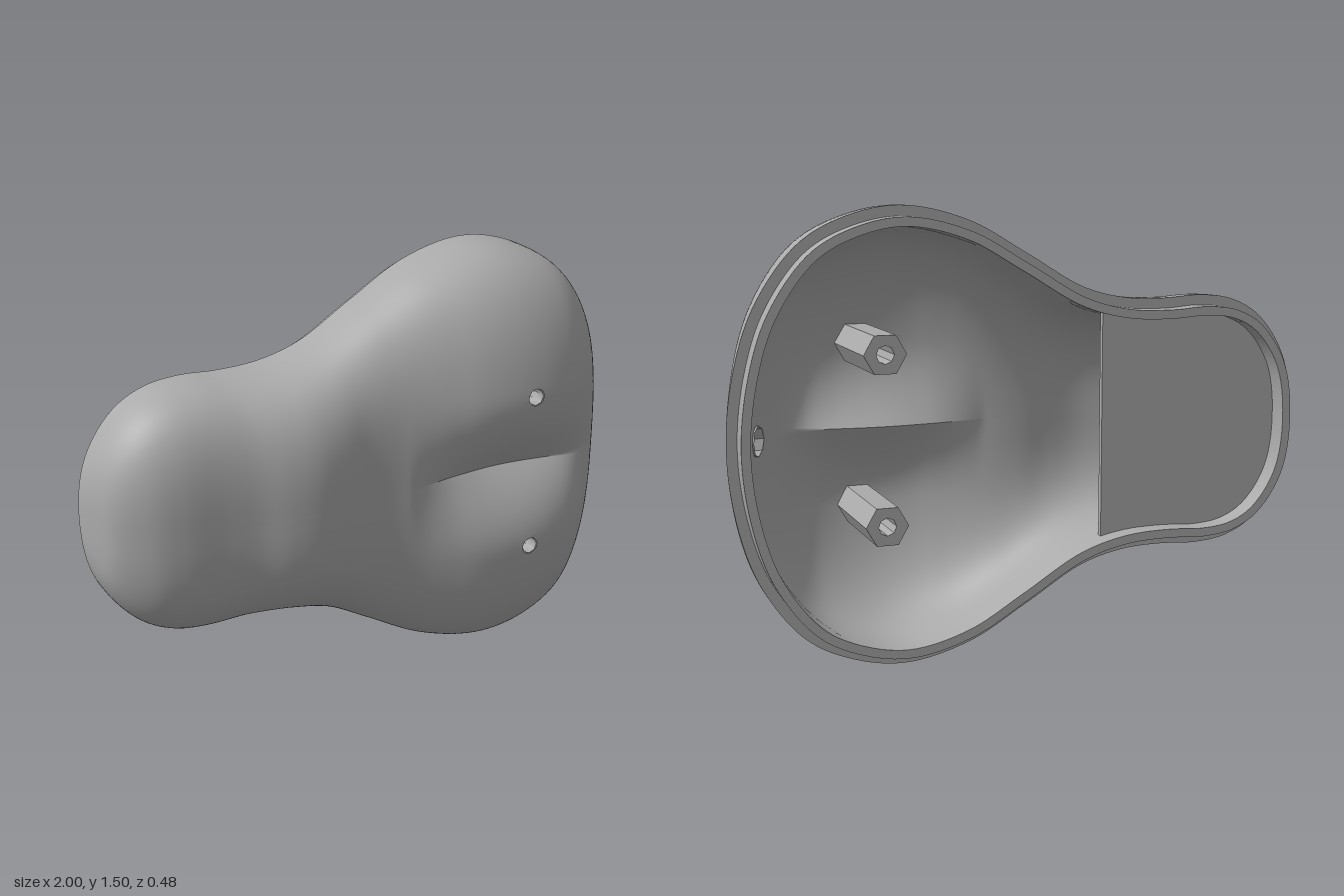
import * as THREE from 'three';
import { toCreasedNormals } from 'three/addons/utils/BufferGeometryUtils.js';

const M = 200, N = 40;      // points around the outline, rings from spine to rim
const RIM = -0.18, BACK = -0.245;
const V = (x, y, z = 0) => new THREE.Vector3(x, y, z);

// Half outline: x, half width
const half = [[1, 0], [0.97, 0.25], [0.9, 0.45], [0.76, 0.635], [0.6, 0.72], [0.42, 0.75], [0.2, 0.7],
  [0, 0.59], [-0.2, 0.475], [-0.35, 0.435], [-0.5, 0.428], [-0.63, 0.435], [-0.75, 0.42],
  [-0.85, 0.37], [-0.93, 0.28], [-0.98, 0.17], [-1, 0]];
// Crest height along the length: x, z
const crest = [[-1, -0.18], [-0.985, -0.09], [-0.95, 0], [-0.85, 0.075], [-0.75, 0.105], [-0.6, 0.12],
  [-0.5, 0.135], [-0.4, 0.162], [-0.3, 0.175], [-0.2, 0.165], [-0.1, 0.147], [0, 0.147], [0.1, 0.163],
  [0.2, 0.19], [0.3, 0.22], [0.4, 0.238], [0.5, 0.245], [0.6, 0.238], [0.7, 0.21], [0.8, 0.135],
  [0.9, 0.02], [0.95, -0.065], [1, -0.18]];

const loopPoints = [...half, ...half.slice(1, -1).reverse().map(([x, y]) => [x, -y])].map(p => V(...p));
const outline = new THREE.CatmullRomCurve3(loopPoints, true).getSpacedPoints(M).slice(0, M);

// Linear lookup of y by x in a list of points with rising x
function lookup(points) {
  return x => {
    let i = 1;
    while (i < points.length - 1 && points[i].x < x) i++;
    const a = points[i - 1], b = points[i];
    return THREE.MathUtils.lerp(a.y, b.y, THREE.MathUtils.clamp((x - a.x) / (b.x - a.x), 0, 1));
  };
}
const widthAt = lookup(outline.slice(0, M / 2 + 1).reverse());
const crestAt = lookup(new THREE.CatmullRomCurve3(crest.map(p => V(...p))).getPoints(300));

// Domed height with a creased groove between the two lobes
function heightAt(x, y) {
  const r = Math.min(1, Math.abs(y) / Math.max(widthAt(x), 1e-4));
  const dome = (crestAt(x) - RIM) * Math.pow(1 - Math.pow(r, 2.8), 1 / 2.8);
  const along = THREE.MathUtils.clamp((x - 0.05) / 0.8, 0, 1);
  const groove = 0.13 * Math.pow(Math.max(0, Math.sin(Math.PI * along)), 1.2)
    * Math.max(0, 1 - Math.abs(y) / 0.3) ** 2;
  return RIM + dome - groove;
}

// Outline moved inwards by d
function inset(d) {
  return outline.map((p, j) => {
    const t = outline[(j + 1) % M].clone().sub(outline[(j + M - 1) % M]).normalize();
    return V(p.x - t.y * d, p.y + t.x * d);
  });
}

const POSTS = [0.28, -0.28], POST_X = 0.49, BORE = 0.03, PORT_Z = -0.05, PORT_R = 0.05;
const holes = POSTS.map(y => ({
  r: BORE, dist: p => Math.hypot(p.x - POST_X, p.y - y), centre: p => V(POST_X, y, p.z)
}));
holes.push({
  r: PORT_R, dist: p => p.x < 0.65 ? 9 : Math.hypot(p.y, p.z - PORT_Z), centre: p => V(p.x, 0, PORT_Z)
});

// Skin from spine to rim with the holes cut out
function skin(d, scale, flip) {
  const edge = inset(d), pts = [], index = [];
  for (let k = 0; k <= N; k++) {
    const f = Math.sin(k / N * Math.PI / 2), s = 0.6 + 0.4 * f;
    for (let j = 0; j < M; j++) {
      const o = outline[j], e = edge[j];
      const z = k === N ? RIM : heightAt(o.x * s, o.y * f);
      pts.push(V(THREE.MathUtils.lerp(o.x * 0.6, e.x, f), e.y * f, RIM + (z - RIM) * scale));
    }
  }
  const grid = pts.slice();
  const quad = (a, b, c, e) => flip ? index.push(a, c, b, a, e, c) : index.push(a, b, c, a, c, e);
  const cut = holes.map(() => []);
  for (let k = 0; k < N; k++) for (let j = 0; j < M; j++) {
    const n = (j + 1) % M;
    const q = [k * M + j, (k + 1) * M + j, (k + 1) * M + n, k * M + n];
    const h = holes.findIndex(o => q.some(i => o.dist(grid[i]) < o.r + 0.008));
    if (h < 0) quad(...q);
    else q.forEach((a, i) => cut[h].push([a, q[(i + 1) % 4]]));
  }
  // Close each gap with a strip running to the round edge of the hole
  holes.forEach((o, h) => {
    const c = o.centre(grid.reduce((m, p) => o.dist(p) < o.dist(m) ? p : m));
    const keys = new Set(cut[h].map(e => e.join()));
    const made = new Map();
    const rim = i => {
      if (!made.has(i)) {
        made.set(i, pts.length);
        pts.push(c.clone().lerp(grid[i], o.r / o.dist(grid[i])));
      }
      return made.get(i);
    };
    for (const [a, b] of cut[h]) if (!keys.has(b + ',' + a)) quad(a, b, rim(b), rim(a));
  });
  const g = new THREE.BufferGeometry().setFromPoints(pts);
  g.setIndex(index);
  g.computeVertexNormals();
  return g;
}

// Joins loops of equal length into a band
function band(loops, closed = true) {
  const n = loops[0].length, index = [];
  for (let k = 0; k < loops.length - 1; k++) for (let j = 0; j < n; j++) {
    const a = k * n + j, b = k * n + (j + 1) % n;
    index.push(a, a + n, b + n, a, b + n, b);
  }
  const g = new THREE.BufferGeometry().setFromPoints(loops.flat());
  g.setIndex(index);
  return toCreasedNormals(g, 0.6);
}

export function createModel() {
  const model = new THREE.Group();
  model.name = 'peanutShell';
  const grey = new THREE.MeshStandardMaterial({ color: 0xaaaaaa });
  grey.name = 'grey';
  const greyThin = grey.clone();
  greyThin.side = THREE.DoubleSide;
  const body = new THREE.Group();
  body.name = 'halfShell';
  body.position.y = 0.75;
  model.add(body);
  const add = (name, geometry, material = grey) => {
    const mesh = new THREE.Mesh(geometry, material);
    mesh.name = name;
    body.add(mesh);
    return mesh;
  };

  add('outerSkin', skin(0, 1, false));
  add('innerSkin', skin(0.065, 0.86, true));

  // Stepped lip around the open back
  const lip = [[0, RIM], [0.035, RIM], [0.035, BACK], [0.065, BACK], [0.065, RIM]];
  add('backLip', band(lip.map(([d, z]) => inset(d).map(p => p.setZ(z)))));

  // Thin plate closing the narrow end
  const plate = new THREE.Shape(inset(0.06).filter(p => p.x < -0.25).map(p => new THREE.Vector2(p.x, p.y)));
  add('neckPlate', new THREE.ExtrudeGeometry(plate, { depth: 0.02, bevelEnabled: false }))
    .position.z = -0.175;

  // Hexagonal screw posts with a bore through the front
  const ring = (r, n) => Array.from({ length: n }, (_, i) =>
    new THREE.Vector2(r * Math.cos(i / n * 2 * Math.PI), r * Math.sin(i / n * 2 * Math.PI)));
  const hex = new THREE.Shape(ring(0.072, 6));
  hex.holes.push(new THREE.Path(ring(BORE, 8)));
  for (const y of POSTS) {
    add('screwPost', new THREE.ExtrudeGeometry(hex, { depth: 0.4, bevelEnabled: false }))
      .position.set(POST_X, y, -0.2);
    const bore = new THREE.CylinderGeometry(BORE, BORE, 0.05, 8, 1, true).rotateX(Math.PI / 2);
    add('screwBore', bore, greyThin).position.set(POST_X, y, 0.205);
  }

  // Wall of the port at the wide end
  const outer = ring(PORT_R, 8).map(p => {
    let lo = 0.7, hi = 1;
    for (let i = 0; i < 30; i++) {
      const mid = (lo + hi) / 2;
      if (heightAt(mid, p.x) > PORT_Z + p.y) lo = mid; else hi = mid;
    }
    return V(lo, p.x, PORT_Z + p.y);
  });
  add('portWall', band([outer, outer.map(p => V(p.x - 0.07, p.y, p.z))]), greyThin);
  return model;
}
